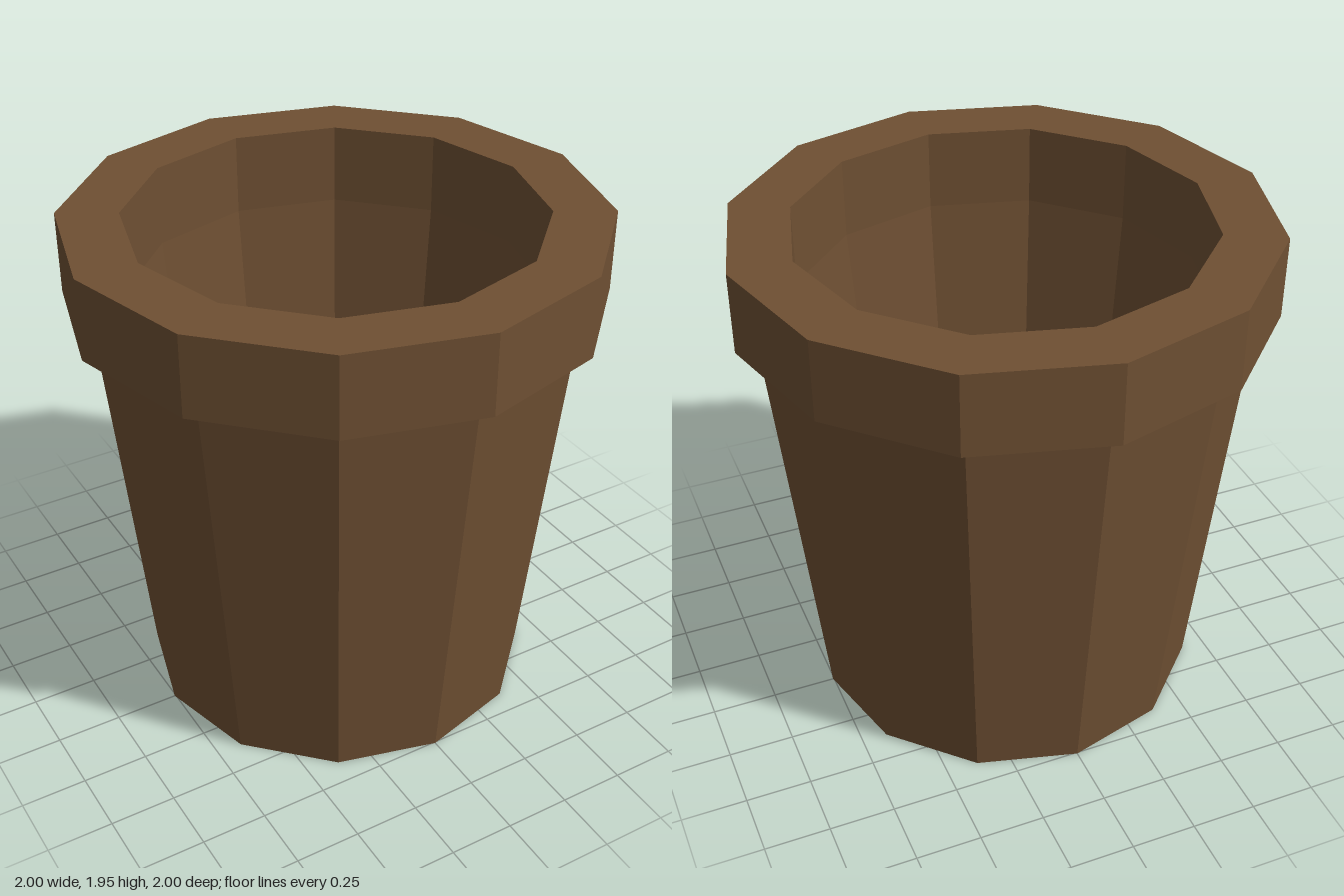
import * as THREE from 'three';

const SIDES = 12;

export function createModel() {
  const pot = new THREE.Group();
  pot.name = 'flowerPot';
  const clay = new THREE.MeshStandardMaterial({ color: 0x6f5033, flatShading: true });

  // Turns a [radius, height] profile into a faceted part
  const turn = (name, profile) => {
    const points = profile.map(([r, y]) => new THREE.Vector2(r, y));
    const mesh = new THREE.Mesh(new THREE.LatheGeometry(points, SIDES), clay);
    mesh.name = name;
    pot.add(mesh);
  };

  // Tapered outside with its closed base
  turn('outerWall', [[0, 0], [0.755, 0], [0.92, 1.64]]);

  // Overhanging collar: underside, outer band, flat top, straight inner band
  turn('rim', [[0.92, 1.64], [1, 1.64], [1, 1.95], [0.77, 1.95], [0.77, 1.64]]);

  // Tapered inside down to the floor
  turn('innerWall', [[0.77, 1.64], [0.64, 0.25], [0, 0.25]]);

  return pot;
}
